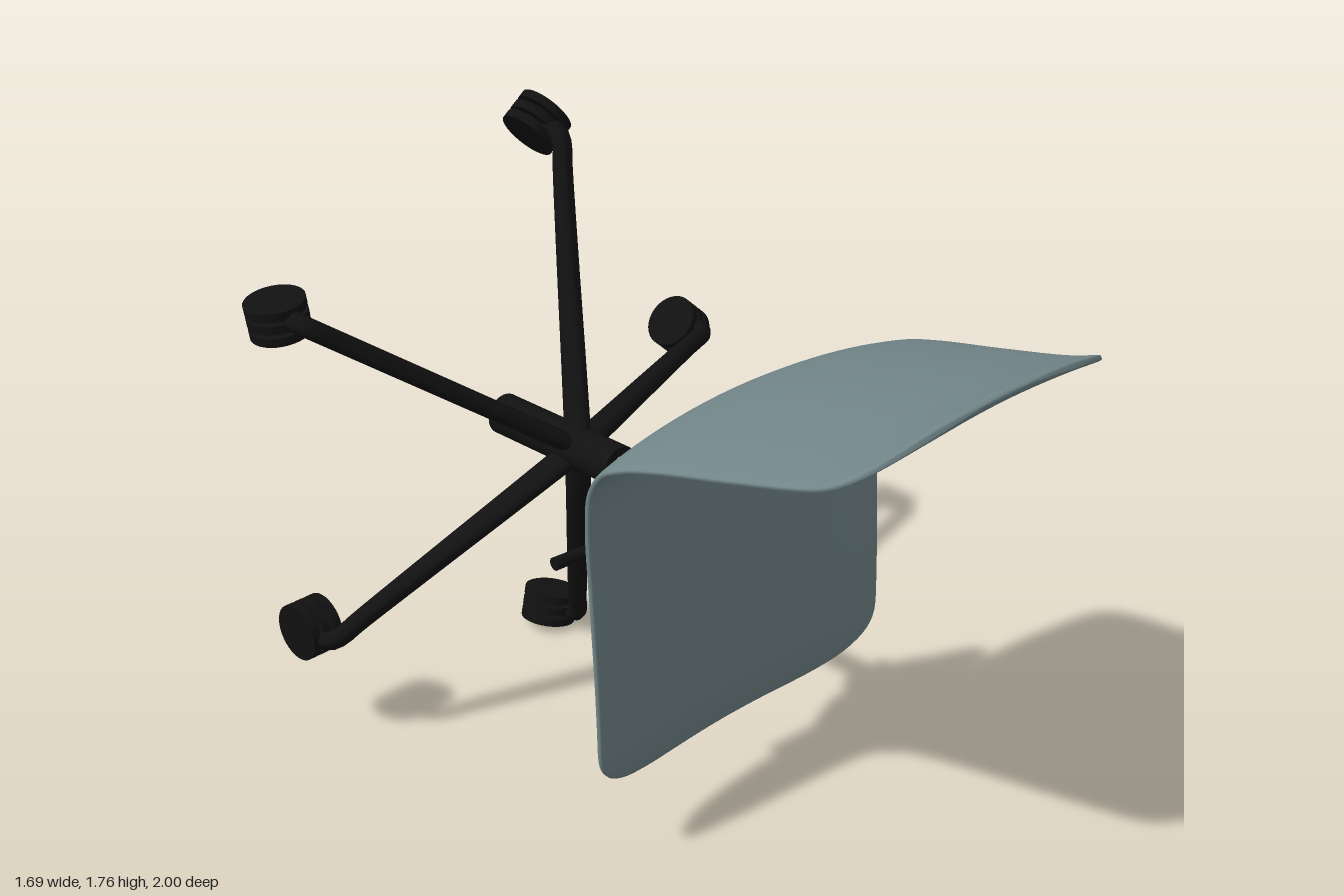
import * as THREE from 'three';
import { toCreasedNormals } from 'three/addons/utils/BufferGeometryUtils.js';

const AXIS = { x: -0.08, y: 0.86 }; // column axis, running along z
const black = new THREE.MeshStandardMaterial({ color: 0x111111 });
const shellMat = new THREE.MeshStandardMaterial({ color: 0x728689 });
const grey = new THREE.MeshStandardMaterial({ color: 0xcccccc });

// Skin a list of rings (arrays of Vector3, counter-clockwise around the direction of travel)
function loft(rings, crease) {
  const n = rings[0].length, pos = [], idx = [];
  const add = (p) => pos.push(p.x, p.y, p.z) / 3 - 1;
  rings.forEach((r) => r.forEach(add));
  for (let i = 0; i < rings.length - 1; i++) {
    for (let j = 0; j < n; j++) {
      const a = i * n + j, b = i * n + (j + 1) % n;
      idx.push(a, b, b + n, a, b + n, a + n);
    }
  }
  [rings[0], rings[rings.length - 1]].forEach((r, end) => {
    const mid = r.reduce((s, p) => s.add(p), new THREE.Vector3()).divideScalar(n);
    const c = add(mid), ids = r.map(add);
    for (let j = 0; j < n; j++) {
      const a = ids[j], b = ids[(j + 1) % n];
      if (end) idx.push(c, a, b); else idx.push(c, b, a);
    }
  });
  const g = new THREE.BufferGeometry();
  g.setAttribute('position', new THREE.Float32BufferAttribute(pos, 3));
  g.setIndex(idx);
  g.computeVertexNormals();
  return crease ? toCreasedNormals(g, crease) : g;
}

function mesh(name, geometry, material) {
  const m = new THREE.Mesh(geometry, material);
  m.name = name;
  return m;
}

// Cylinder along z between two depths
function zCylinder(name, r, z0, z1, material) {
  const m = mesh(name, new THREE.CylinderGeometry(r, r, Math.abs(z1 - z0), 32), material);
  m.rotation.x = Math.PI / 2;
  m.position.set(AXIS.x, AXIS.y, (z0 + z1) / 2);
  return m;
}

const spow = (v, p) => Math.sign(v) * Math.pow(Math.abs(v), p);

// One-piece seat and backrest: thin cross-sections swept along a side profile
function seatShell() {
  const profile = new THREE.CatmullRomCurve3([
    [0.22, 0.095], [0.27, 0.108], [0.35, 0.116], [0.55, 0.115], [0.8, 0.105], [1.05, 0.095], [1.17, 0.11],
    [1.255, 0.165], [1.3, 0.25], [1.335, 0.37], [1.385, 0.6], [1.44, 0.83], [1.475, 0.92], [1.515, 0.997],
  ].map(([y, z]) => new THREE.Vector3(0, y, z)), false, 'centripetal');
  const length = profile.getLength(), rows = 90, cols = 56, rings = [];
  const corner = 0.2, thick = 0.028;
  for (let i = 0; i <= rows; i++) {
    const s = 0.5 - 0.5 * Math.cos(Math.PI * i / rows); // dense rows at both ends
    const d = Math.max(Math.min(s, 1 - s) * length, 0.0003);
    const p = profile.getPointAt(s), t = profile.getTangentAt(s);
    const normal = new THREE.Vector3(0, -t.z, t.y);
    const round = d < corner ? Math.cbrt(1 - Math.pow(1 - d / corner, 3)) : 1;
    const half = (0.55 - 0.07 * Math.max(0, p.z - 0.14)) * round;
    const h = thick / 2 * Math.min(1, Math.sqrt(d / 0.012));
    const ring = [];
    for (let j = 0; j < cols; j++) {
      const a = 2 * Math.PI * (j + 0.5) / cols;
      const x = half * Math.sin(a);
      const lift = 0.055 * (x / 0.55) ** 2 + h * spow(Math.cos(a), 0.4);
      ring.push(p.clone().addScaledVector(normal, lift).setX(AXIS.x + x));
    }
    rings.push(ring);
  }
  return mesh('seatShell', loft(rings), shellMat);
}

// Waisted mounting plate tapering down to the column
function mount() {
  const sections = [ // z, centre y, half height, half width, waist
    [0.08, 0.82, 0.295, 0.225, 0.42], [0.045, 0.82, 0.295, 0.23, 0.42], [0.01, 0.83, 0.225, 0.2, 0.35],
    [-0.03, 0.815, 0.17, 0.14, 0.2], [-0.06, 0.83, 0.12, 0.105, 0.1], [-0.075, 0.855, 0.075, 0.085, 0], [-0.118, 0.86, 0.06, 0.06, 0],
  ];
  const rings = sections.map(([z, yc, hy, hx, waist], k) => {
    const ring = [], pw = k < 5 ? 0.4 : 0.8;
    for (let j = 0; j < 48; j++) {
      const a = 2 * Math.PI * j / 48;
      const v = spow(Math.cos(a), pw);
      const x = hx * spow(Math.sin(a), pw) * (1 - waist * (1 - v * v));
      const y = yc + hy * v;
      ring.push(new THREE.Vector3(AXIS.x + x, y, z + 0.06 * (0.83 - y)));
    }
    return ring;
  });
  return mesh('seatMount', loft(rings, 0.6), black);
}

// Tapered leg running outward along local x, bending down to its caster
function legGeometry() {
  const path = new THREE.CatmullRomCurve3([
    [0, -0.485], [0.25, -0.581], [0.5, -0.678], [0.75, -0.773], [0.81, -0.793], [0.836, -0.82], [0.84, -0.88],
  ].map(([r, z]) => new THREE.Vector3(r, 0, z)), false, 'centripetal');
  const rings = [], steps = 40;
  for (let i = 0; i <= steps; i++) {
    const s = i / steps, p = path.getPointAt(s), t = path.getTangentAt(s);
    const depth = 0.047 - 0.021 * s, ring = [];
    for (let j = 0; j < 20; j++) {
      const a = 2 * Math.PI * j / 20, e = depth * Math.sin(a);
      ring.push(new THREE.Vector3(p.x - t.z * e, 0.028 * Math.cos(a), p.z + t.x * e));
    }
    rings.push(ring);
  }
  return loft(rings, 0.8);
}

// Caster: three discs on a smaller core, axle along local y
function caster(x, y, degrees) {
  const g = new THREE.Group();
  g.name = 'caster';
  for (const k of [-1, 0, 1]) {
    const disc = mesh('casterDisc', new THREE.CylinderGeometry(0.085, 0.085, 0.025, 32), black);
    disc.position.y = k * 0.037;
    g.add(disc);
  }
  g.add(mesh('casterCore', new THREE.CylinderGeometry(0.055, 0.055, 0.09, 24), black));
  g.position.set(x, y, -0.915);
  g.rotation.z = THREE.MathUtils.degToRad(degrees);
  return g;
}

export function createModel() {
  const chair = new THREE.Group();
  chair.name = 'swivelChair';
  chair.add(seatShell(), mount());

  // Column
  chair.add(zCylinder('gasStem', 0.034, -0.1, -0.33, grey));
  chair.add(zCylinder('hub', 0.061, -0.31, -0.805, black));

  // Height lever
  const from = new THREE.Vector3(-0.12, 0.87, 0.02), to = new THREE.Vector3(-0.59, 0.87, 0.02 - 0.04);
  const lever = mesh('heightLever', new THREE.CylinderGeometry(0.018, 0.011, from.distanceTo(to), 16), black);
  lever.position.copy(from).lerp(to, 0.5);
  lever.quaternion.setFromUnitVectors(new THREE.Vector3(0, 1, 0), to.clone().sub(from).normalize());
  chair.add(lever);

  // Five legs, each with a caster swivelled its own way
  const legGeo = legGeometry();
  const casters = [[0.75, 0.845, 48], [0.185, 1.66, -53], [-0.755, 1.345, 8], [-0.748, 0.373, 90], [0.16, 0.07, -13]];
  casters.forEach((c, i) => {
    const leg = mesh('leg', legGeo, black);
    leg.position.set(AXIS.x, AXIS.y, 0);
    leg.rotation.z = i * 2 * Math.PI / 5;
    chair.add(leg, caster(...c));
  });
  return chair;
}
